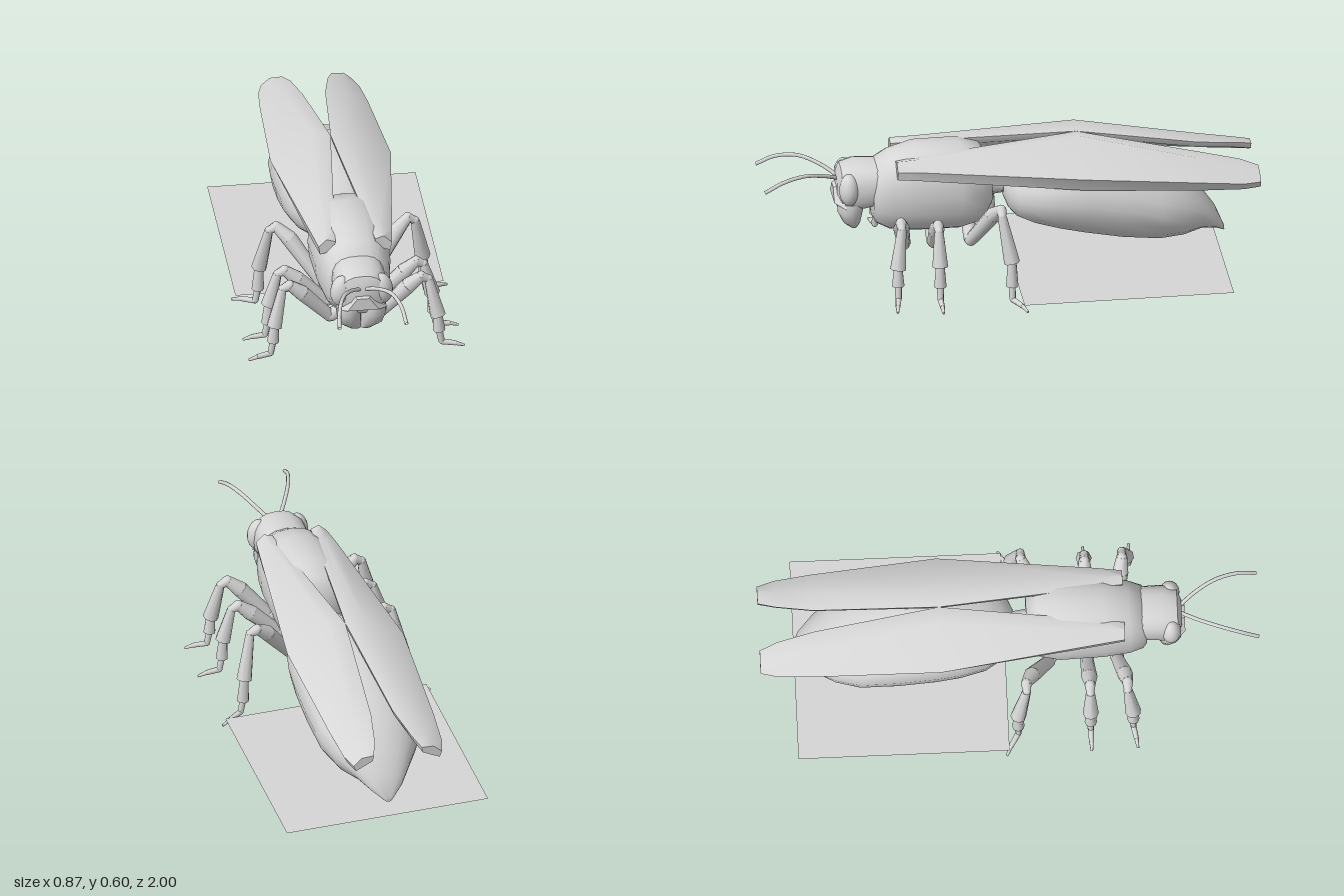
import * as THREE from 'three';
import { toCreasedNormals } from 'three/addons/utils/BufferGeometryUtils.js';

const shell = new THREE.MeshStandardMaterial({ color: 0xd6d6d6, side: THREE.DoubleSide });
shell.name = 'paleGrey';

function add(parent, name, geometry) {
  const mesh = new THREE.Mesh(geometry, shell);
  mesh.name = name;
  parent.add(mesh);
  return mesh;
}

// Closed skin over matching loops of [x, y, z] points, capped at both ends
function loft(sections, crease = 0.6) {
  const n = sections[0].length, pos = [], index = [];
  sections.forEach(s => s.forEach(p => pos.push(...p)));
  const cap = (s, first, flip) => {
    const c = pos.length / 3;
    pos.push(...[0, 1, 2].map(k => s.reduce((t, p) => t + p[k], 0) / n));
    for (let j = 0; j < n; j++) {
      const a = first + j, b = first + (j + 1) % n;
      index.push(c, flip ? b : a, flip ? a : b);
    }
  };
  for (let i = 0; i < sections.length - 1; i++) {
    for (let j = 0; j < n; j++) {
      const a = i * n + j, b = i * n + (j + 1) % n;
      index.push(a, a + n, b, b, a + n, b + n);
    }
  }
  cap(sections[0], 0, false);
  cap(sections[sections.length - 1], (sections.length - 1) * n, true);
  const g = new THREE.BufferGeometry();
  g.setAttribute('position', new THREE.Float32BufferAttribute(pos, 3));
  g.setIndex(index);
  return toCreasedNormals(g, crease);
}

// Body along z from rows of [z, bottom, top, halfWidth]; a lower power gives squarer sections
function body(rows, sides = 20, power = 1) {
  const bend = v => Math.sign(v) * Math.abs(v) ** power;
  return loft(rows.map(([z, lo, hi, w]) => Array.from({ length: sides }, (_, j) => {
    const t = j / sides * Math.PI * 2;
    return [w * bend(Math.cos(t)), (lo + hi) / 2 + (hi - lo) / 2 * bend(Math.sin(t)), z];
  })), 0.75);
}

// Jointed limb: tapered rods through [x, y, z, startRadius, endRadius]
function limb(parent, name, points) {
  const group = new THREE.Group();
  group.name = name;
  parent.add(group);
  for (let i = 0; i < points.length - 1; i++) {
    const a = new THREE.Vector3(...points[i]), b = new THREE.Vector3(...points[i + 1]);
    const [, , , r0, r1] = points[i];
    const dir = b.clone().sub(a);
    const rod = add(group, 'legSegment', new THREE.CylinderGeometry(r1, r0, dir.length(), 8));
    rod.position.copy(a).addScaledVector(dir, 0.5);
    rod.quaternion.setFromUnitVectors(new THREE.Vector3(0, 1, 0), dir.normalize());
    const joint = add(group, 'legJoint', new THREE.SphereGeometry(r0 * 0.97, 8, 6));
    joint.position.copy(a);
  }
}

export function createModel() {
  const model = new THREE.Group();
  model.name = 'insect';

  // Body
  add(model, 'thorax', body([
    [0.55, 0.28, 0.48, 0.105], [0.535, 0.25, 0.51, 0.122], [0.48, 0.22, 0.545, 0.138],
    [0.38, 0.21, 0.575, 0.152], [0.20, 0.21, 0.575, 0.158], [0.11, 0.235, 0.55, 0.14],
    [0.07, 0.30, 0.49, 0.09]], 20, 0.85));
  add(model, 'waist', body([[0.10, 0.33, 0.45, 0.05], [0, 0.34, 0.42, 0.04]], 10));
  add(model, 'abdomen', body([
    [0.02, 0.33, 0.41, 0.05], [0, 0.28, 0.435, 0.10], [-0.03, 0.245, 0.465, 0.145],
    [-0.10, 0.215, 0.50, 0.19], [-0.20, 0.185, 0.525, 0.213], [-0.30, 0.16, 0.535, 0.222],
    [-0.45, 0.13, 0.51, 0.222], [-0.60, 0.115, 0.445, 0.21], [-0.70, 0.122, 0.385, 0.175],
    [-0.78, 0.142, 0.30, 0.12], [-0.84, 0.13, 0.215, 0.07], [-0.875, 0.11, 0.13, 0.015]]));

  // Head and face
  const head = new THREE.Group();
  head.name = 'head';
  model.add(head);
  add(head, 'skull', body([
    [0.692, 0.37, 0.46, 0.05], [0.675, 0.33, 0.50, 0.09], [0.62, 0.31, 0.515, 0.108],
    [0.525, 0.33, 0.51, 0.105]], 20, 0.8));
  add(head, 'facePlate', loft([[0.705, 0.7], [0.66, 1.15]].map(([z, k]) =>
    [[0.09, -0.035], [0.035, 0.04], [-0.035, 0.04], [-0.09, -0.035]].map(([x, y]) =>
      [x * k, 0.385 + y * k, z]))));

  for (const s of [-1, 1]) {
    const side = s > 0 ? 'left' : 'right';
    const eye = add(head, side + 'Eye', new THREE.SphereGeometry(1, 16, 12));
    eye.position.set(s * 0.083, 0.425, 0.648);
    eye.scale.set(0.043, 0.066, 0.04);
    eye.rotation.z = s * 0.12;

    // Jaw half, tapering downwards from rows of [y, outer x, centre z, half depth]
    const jawRows = [[0.36, 0.1, 0.635, 0.055], [0.32, 0.102, 0.64, 0.052],
      [0.27, 0.088, 0.633, 0.036], [0.235, 0.045, 0.622, 0.015]];
    add(head, side + 'Jaw', loft(jawRows.map(([y, w, z, d]) =>
      Array.from({ length: 12 }, (_, j) => {
        const t = j / 12 * Math.PI * 2;
        return [s * w / 2 + w / 2 * Math.cos(t), y, z - d * Math.sin(t)];
      })), 0.9));

    // Antenna
    const curve = new THREE.CatmullRomCurve3([[0.01, 0.445, 0.68], [0.055, 0.48, 0.745],
      [0.098, 0.505, 0.83], [0.125, 0.495, 0.92], [0.135, 0.46, 0.995]]
      .map(([x, y, z]) => new THREE.Vector3(s * x, y, z)));
    add(head, side + 'Antenna', new THREE.TubeGeometry(curve, 20, 0.008, 8));

    // Wing case: bent shell, each loop runs outer, ridge, inner, inner underside, lower outer
    const wingRows = [
      [0.46, [0.148, 0.52], [0.115, 0.552], [0.08, 0.54], [0.085, 0.50], [0.142, 0.485]],
      [0.36, [0.162, 0.52], [0.11, 0.556], [0.07, 0.55], [0.075, 0.52], [0.155, 0.48]],
      [-0.28, [0.243, 0.485], [0.075, 0.60], [0, 0.585], [0.005, 0.56], [0.215, 0.425]],
      [-0.78, [0.218, 0.425], [0.12, 0.485], [0.045, 0.48], [0.052, 0.455], [0.20, 0.385]],
      [-0.93, [0.205, 0.405], [0.14, 0.45], [0.075, 0.455], [0.082, 0.43], [0.19, 0.375]],
      [-1.0, [0.185, 0.40], [0.15, 0.432], [0.10, 0.435], [0.105, 0.41], [0.175, 0.375]]];
    add(model, side + 'WingCase', loft(wingRows.map(([z, ...pts]) => {
      const loop = pts.map(([x, y]) => [s * x, y, z]);
      return s > 0 ? loop : loop.reverse();
    }), 0.95));

    // Legs: hip z, knee z, ankle z, toe z, knee height, foot height
    const legs = [['front', 0.43, 0.465, 0.485, 0.50, 0.355, 0.035],
      ['middle', 0.31, 0.315, 0.315, 0.315, 0.335, 0.02],
      ['hind', 0.16, 0.06, 0.025, -0.025, 0.385, 0.004]];
    for (const [name, hip, knee, ankle, toe, ky, fy] of legs) {
      limb(model, side + name[0].toUpperCase() + name.slice(1) + 'Leg', [
        [s * 0.02, 0.225, hip, 0.028, 0.028],
        [s * 0.10, 0.18, hip, 0.026, 0.033],
        [s * 0.215, ky - 0.045, (hip + 3 * knee) / 4, 0.033, 0.022],
        [s * 0.265, ky, knee, 0.022, 0.016],
        [s * 0.295, ky - 0.015, knee, 0.018, 0.032],
        [s * 0.33, 0.18, ankle, 0.018, 0.025],
        [s * 0.335, fy + 0.075, ankle, 0.014, 0.013],
        [s * 0.345, fy + 0.02, ankle, 0.012, 0.01],
        [s * 0.40, fy + 0.014, (ankle + 2 * toe) / 3, 0.009, 0.005],
        [s * 0.435, fy + 0.004, toe, 0.004, 0.004]]);
    }
  }

  // Flat sheet under the abdomen
  const sheet = add(model, 'groundSheet', new THREE.PlaneGeometry(0.84, 0.845));
  sheet.rotation.x = -Math.PI / 2;
  sheet.position.set(0, 0.03, -0.436);
  return model;
}
